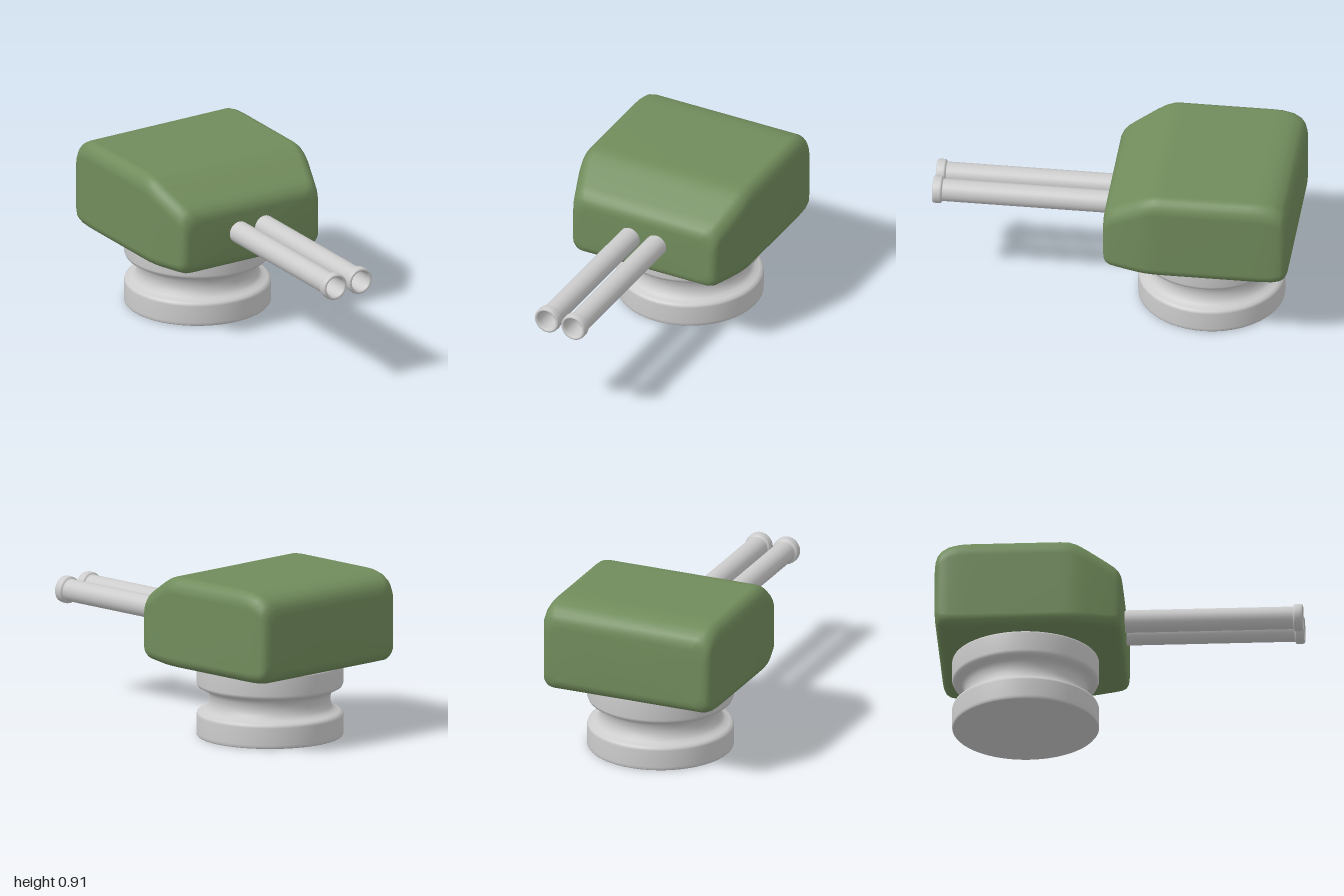
import * as THREE from 'three';

const green = new THREE.MeshStandardMaterial({ color: 0x718c5c });
const grey = new THREE.MeshStandardMaterial({ color: 0xcccccc });

const add = (parent, geometry, material, name) => {
  const mesh = new THREE.Mesh(geometry, material);
  mesh.name = name;
  parent.add(mesh);
  return mesh;
};

const lathe = (profile, sides) =>
  new THREE.LatheGeometry(profile.map(([r, y]) => new THREE.Vector2(r, y)), sides);

// Closed loop of a rounded rectangle, counter-clockwise from the lower right corner
function sectionLoop(halfWidth, bottom, top) {
  const steps = 6, points = [];
  const corners = [[1, -1, 0.06, 0.06], [1, 1, 0.07, 0.09], [-1, 1, 0.07, 0.09], [-1, -1, 0.06, 0.06]];
  corners.forEach(([sx, sy, rx, ry], k) => {
    const cx = sx * (halfWidth - rx);
    const cy = sy < 0 ? bottom + ry : top - ry;
    for (let i = 0; i <= steps; i++) {
      const a = (k - 1 + i / steps) * Math.PI / 2;
      points.push([cx + rx * Math.cos(a), cy + ry * Math.sin(a)]);
    }
  });
  return points;
}

// Skin through sections [z, halfWidth, bottom, top] running from back to front
function loft(sections) {
  const positions = [], index = [];
  const loops = sections.map(([z, w, b, t]) => sectionLoop(w, b, t).map(([x, y]) => [x, y, z]));
  const n = loops[0].length, last = (loops.length - 1) * n;
  loops.forEach((loop) => loop.forEach((p) => positions.push(...p)));
  for (let i = 0; i < loops.length - 1; i++) {
    for (let j = 0; j < n; j++) {
      const a = i * n + j, b = i * n + (j + 1) % n;
      index.push(a, b, a + n, b, b + n, a + n);
    }
  }
  // End caps fan out from a middle point
  [sections[0], sections[sections.length - 1]].forEach(([z, , b, t]) => positions.push(0, (b + t) / 2, z));
  const back = loops.length * n, front = back + 1;
  for (let j = 0; j < n; j++) {
    const k = (j + 1) % n;
    index.push(back, k, j, front, last + j, last + k);
  }
  const geometry = new THREE.BufferGeometry();
  geometry.setAttribute('position', new THREE.Float32BufferAttribute(positions, 3));
  geometry.setIndex(index);
  geometry.computeVertexNormals();
  return geometry;
}

export function createModel() {
  const group = new THREE.Group();

  // Grooved pedestal
  const pedestal = add(group, lathe([
    [0, 0], [0.397, 0], [0.402, 0.006], [0.403, 0.02], [0.403, 0.115], [0.398, 0.13], [0.382, 0.138],
    [0.355, 0.148], [0.338, 0.168], [0.33, 0.2], [0.335, 0.235], [0.35, 0.259], [0.378, 0.268],
    [0.396, 0.278], [0.403, 0.295], [0.403, 0.395], [0.4, 0.405], [0.395, 0.408], [0, 0.408],
  ], 64), grey, 'pedestal');
  pedestal.position.z = -0.525;

  // Turret housing with sloping brow and tapered cheeks
  add(group, loft([
    [-1, 0.445, 0.475, 0.785], [-0.995, 0.475, 0.45, 0.82], [-0.982, 0.495, 0.428, 0.85],
    [-0.96, 0.505, 0.415, 0.874], [-0.92, 0.511, 0.408, 0.896], [-0.86, 0.513, 0.405, 0.909],
    [-0.8, 0.514, 0.405, 0.911], [-0.31, 0.514, 0.405, 0.911], [-0.26, 0.513, 0.405, 0.908],
    [-0.22, 0.509, 0.405, 0.895], [-0.17, 0.499, 0.405, 0.869], [-0.05, 0.463, 0.406, 0.8],
    [-0.015, 0.452, 0.408, 0.778], [0.007, 0.442, 0.416, 0.756], [0.02, 0.425, 0.431, 0.73],
    [0.025, 0.4, 0.455, 0.7],
  ]), green, 'turretHousing');

  // Twin barrels with muzzle collars and tapering bores
  const barrel = lathe([
    [0.062, 0], [0.062, 0.944], [0.063, 0.948], [0.07, 0.95], [0.074, 0.954], [0.075, 0.96],
    [0.075, 0.985], [0.073, 0.996], [0.068, 1], [0.062, 1], [0.057, 0.995], [0.055, 0.98], [0.04, 0],
  ], 32).rotateX(Math.PI / 2);
  for (const [name, side] of [['leftBarrel', 1], ['rightBarrel', -1]]) {
    add(group, barrel, grey, name).position.set(side * 0.082, 0.597, 0);
  }
  return group;
}
